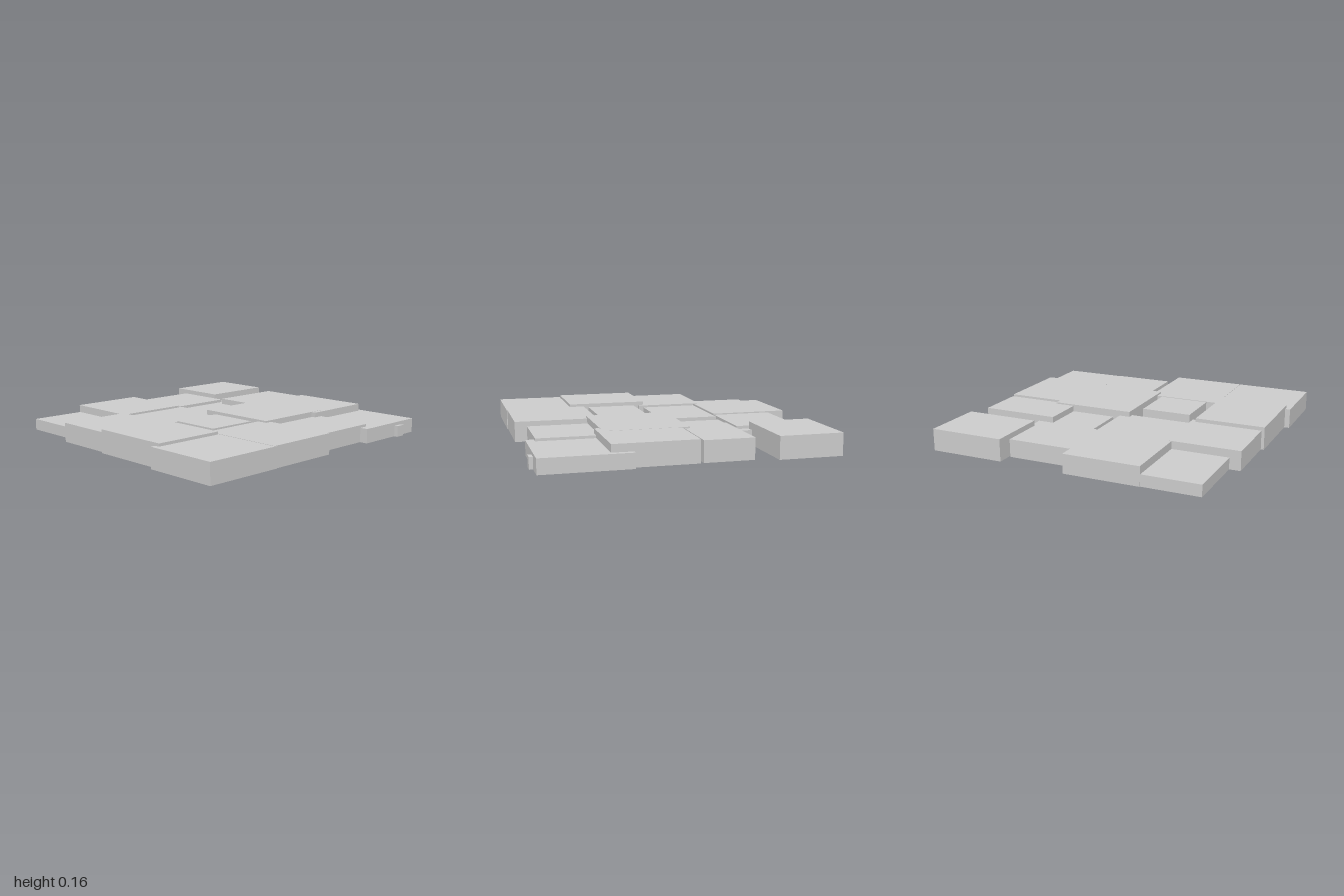
import * as THREE from 'three';

const material = new THREE.MeshStandardMaterial({ color: 0xcccccc, flatShading: true, side: THREE.DoubleSide });

// Hollow slab: four walls and a top, open underneath
function openBox(name, [x0, x1, z0, z1, h]) {
  const geometry = new THREE.BoxGeometry(x1 - x0, h, z1 - z0);
  const index = Array.from(geometry.index.array);
  index.splice(18, 6); // remove the bottom face
  geometry.setIndex(index);
  geometry.clearGroups();
  const mesh = new THREE.Mesh(geometry, material);
  mesh.name = name;
  mesh.position.set((x0 + x1) / 2, h / 2, (z0 + z1) / 2);
  return mesh;
}

// Each slab: x min, x max, z min, z max, height; rows run from back to front
const rows = [
  [
    [-0.96, -0.535, -1.0, -0.49, 0.149],
    [-0.39, -0.06, -0.96, -0.43, 0.14],
    [-0.04, 0.51, -0.965, -0.46, 0.149],
    [0.37, 0.95, -1.0, -0.465, 0.098],
  ],
  [
    [-0.86, -0.45, -0.48, 0.0, 0.12],
    [-0.555, -0.03, -0.54, -0.115, 0.1],
    [-0.095, 0.475, -0.57, 0.01, 0.15],
    [0.485, 0.895, -0.525, -0.105, 0.116],
  ],
  [
    [-0.98, -0.445, -0.03, 0.485, 0.129],
    [-0.5, -0.05, -0.065, 0.47, 0.115],
    [0.04, 0.38, 0.055, 0.405, 0.142],
    [0.405, 0.97, -0.04, 0.475, 0.138],
  ],
  [
    [-0.975, -0.47, 0.45, 0.87, 0.077],
    [-0.49, -0.015, 0.45, 0.945, 0.13],
    [-0.055, 0.505, 0.485, 0.965, 0.155],
    [0.47, 0.975, 0.455, 1.0, 0.136],
  ],
];

export function createModel() {
  const group = new THREE.Group();
  group.name = 'slabField';
  rows.forEach((row, r) => row.forEach((slab, c) => {
    group.add(openBox(`slabRow${r + 1}Column${c + 1}`, slab));
  }));
  // Small block poking through the side of the back corner slab
  group.add(openBox('smallBlock', [0.91, 0.975, -0.855, -0.785, 0.075]));
  return group;
}
